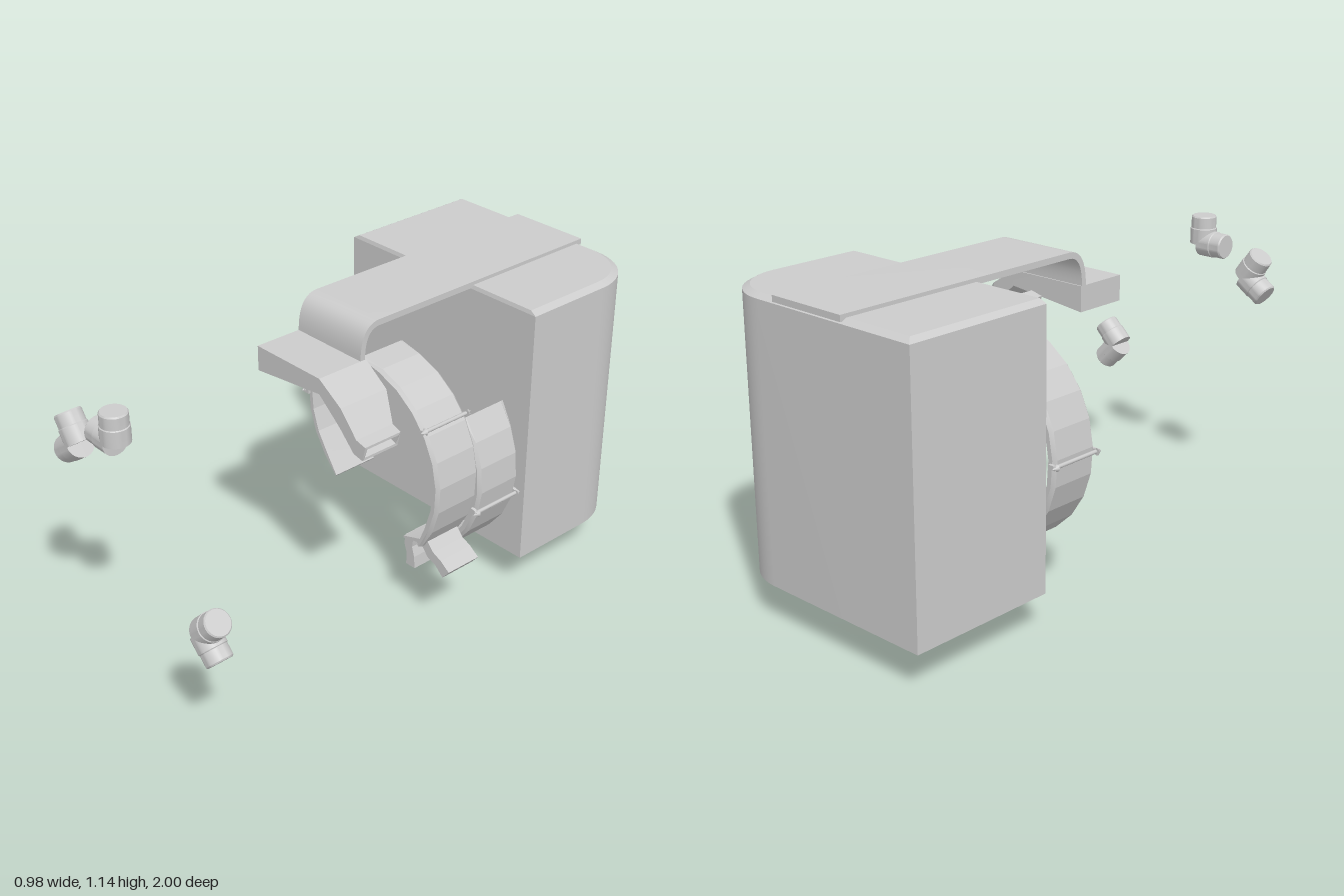
import * as THREE from 'three';
import { toCreasedNormals } from 'three/addons/utils/BufferGeometryUtils.js';

const grey = new THREE.MeshStandardMaterial({ color: 0xcccccc });
const rad = THREE.MathUtils.degToRad;

function part(name, geometry, parent) {
  const mesh = new THREE.Mesh(geometry, grey);
  mesh.name = name;
  parent.add(mesh);
  return mesh;
}

// Closed skin over rings of [x, y, z] points, capped at both ends
function loft(rings, crease = 0.5) {
  const m = rings[0].length, tris = [];
  const tri = (a, b, c) => tris.push([a, b, c]);
  for (let i = 0; i < rings.length - 1; i++) {
    for (let j = 0; j < m; j++) {
      const k = (j + 1) % m, a = rings[i], b = rings[i + 1];
      tri(a[j], a[k], b[k]);
      tri(a[j], b[k], b[j]);
    }
  }
  const first = rings[0], last = rings[rings.length - 1];
  for (let j = 1; j < m - 1; j++) {
    tri(first[0], first[j + 1], first[j]);
    tri(last[0], last[j], last[j + 1]);
  }
  // Turn all faces outward using the signed volume
  let volume = 0;
  for (const [a, b, c] of tris) {
    volume += a[0] * (b[1] * c[2] - b[2] * c[1]) + a[1] * (b[2] * c[0] - b[0] * c[2]) + a[2] * (b[0] * c[1] - b[1] * c[0]);
  }
  const flat = tris.flatMap(([a, b, c]) => (volume < 0 ? [a, c, b] : [a, b, c])).flat();
  const g = new THREE.BufferGeometry();
  g.setAttribute('position', new THREE.Float32BufferAttribute(flat, 3));
  return toCreasedNormals(g, crease);
}

// Housing outline at one height, with one rounded rear corner
function housingRing(y, side, front) {
  const x0 = -0.475 + side, x1 = 0.43 - side, z0 = -1 + side, z1 = -0.435 - front;
  const r = 0.22 - side, ring = [[x0, y, z1], [x0, y, z0]];
  for (let i = 0; i <= 12; i++) {
    const a = rad(-90 + i * 7.5);
    ring.push([x1 - r + r * Math.cos(a), y, z0 + r + r * Math.sin(a)]);
  }
  ring.push([x1, y, z1]);
  return ring;
}

// Flat strap along the top that curls down at the front
function strapGeometry() {
  const s = new THREE.Shape();
  s.moveTo(-1, 1.14);
  s.lineTo(0, 1.14);
  s.bezierCurveTo(0.06, 1.14, 0.085, 1.09, 0.085, 1.005);
  s.lineTo(0.065, 1.005);
  s.bezierCurveTo(0.065, 1.08, 0.045, 1.118, 0, 1.118);
  s.lineTo(-1, 1.118);
  s.closePath();
  const g = new THREE.ExtrudeGeometry(s, { depth: 0.315, bevelEnabled: false, curveSegments: 10 });
  g.rotateY(-Math.PI / 2).translate(0.135, 0, 0);
  return toCreasedNormals(g, 0.5);
}

// Bent duct: top x, top y, bottom x, bottom y, rear z; hollow at its free end
function ductGeometry() {
  const stations = [
    [-0.18, 1.012, -0.18, 0.92, 0.06],
    [0.135, 1.012, 0.135, 0.955, 0.06],
    [0.24, 0.945, 0.235, 0.872, 0.065],
    [0.315, 0.86, 0.302, 0.804, 0.105],
    [0.358, 0.85, 0.345, 0.795, 0.11],
  ];
  const ring = ([tx, ty, bx, by, z], wall = 0) => [
    [tx, ty - wall, 0.265 - wall], [tx, ty - wall, z + wall],
    [bx, by + wall, z + wall], [bx, by + wall, 0.265 - wall],
  ];
  const rings = stations.map((s) => ring(s));
  rings.push(ring(stations[4], 0.009), ring(stations[3], 0.009));
  return loft(rings, 0.2);
}

// Curved band with an end tab and a cross pin, drawn around its own centre
function createClamp(name, x, y, z, turn) {
  const g = new THREE.Group();
  g.name = name;
  const R = 0.387, w = 0.0975, steps = 9, rings = [];
  for (let i = 0; i <= steps; i++) {
    const a = rad(-88 + (128 * i) / steps);
    const t = i === steps ? 0.008 : i === 0 ? 0.014 : 0.028;
    const c = t * 0.4;
    rings.push([[R - c, -w], [R, -w + 0.012], [R, w - 0.012], [R - c, w], [R - t, w], [R - t, -w]]
      .map(([r, d]) => [r * Math.cos(a), r * Math.sin(a), d]));
  }
  part('clampBand', loft(rings, 0.2), g);

  // Kinked tab: left x, right x, y
  const tab = [[0, 0.04, -0.383], [-0.008, 0.034, -0.425], [0.006, 0.046, -0.465], [0.004, 0.05, -0.514]];
  part('clampTab', loft(tab.map(([l, r, h]) => [[l, h, -0.072], [r, h, -0.072], [r, h, 0.072], [l, h, 0.072]]), 0.2), g);

  // Pin across the band with a small pointed head at each end
  const pin = new THREE.Group();
  pin.name = 'clampPin';
  pin.position.set((R + 0.003) * Math.cos(rad(-14)), (R + 0.003) * Math.sin(rad(-14)), 0);
  pin.rotation.z = rad(-14);
  g.add(pin);
  part('pinRod', new THREE.CylinderGeometry(0.007, 0.007, 0.22, 10).rotateX(Math.PI / 2), pin);
  for (const s of [-1, 1]) {
    part('pinBracket', new THREE.BoxGeometry(0.03, 0.016, 0.012), pin).position.set(-0.008, 0, s * 0.102);
    const head = part('pinHead', new THREE.ConeGeometry(0.013, 0.022, 8), pin);
    head.rotation.x = (s * Math.PI) / 2;
    head.position.set(0.004, 0, s * 0.107);
  }

  g.position.set(x, y, z);
  g.rotation.z = rad(turn);
  return g;
}

// Pipe elbow: two stepped stubs that meet at right angles
function createElbow(name, x, y, turn) {
  const g = new THREE.Group();
  g.name = name;
  const profile = [[0, 0], [0.05, 0], [0.05, 0.058], [0.047, 0.061], [0.047, 0.102], [0.043, 0.107], [0, 0.107]];
  const stub = toCreasedNormals(new THREE.LatheGeometry(profile.map((p) => new THREE.Vector2(...p)), 32), 0.5);
  part('upperStub', stub, g);
  part('sideStub', stub, g).rotation.z = Math.PI / 2;
  g.position.set(x, y, 0.95);
  g.rotation.z = rad(turn);
  return g;
}

export function createModel() {
  const model = new THREE.Group();
  model.name = 'clampAssembly';

  part('housing', loft([housingRing(0.14, 0, 0), housingRing(1.113, 0, 0), housingRing(1.127, 0.025, 0.004)], 0.25), model);
  part('topStrap', strapGeometry(), model);
  part('frontDuct', ductGeometry(), model);

  model.add(
    createClamp('rightClamp', -0.083, 0.563, -0.29, 194),
    createClamp('leftFrontClamp', 0.04, 0.575, -0.1, 50),
    createClamp('leftRearClamp', 0.03, 0.515, -0.315, 0),
    createElbow('topElbow', -0.023, 0.978, 0),
    createElbow('rightElbow', -0.233, 0.882, 35),
    createElbow('leftElbow', 0.383, 0.482, 225),
  );
  return model;
}
